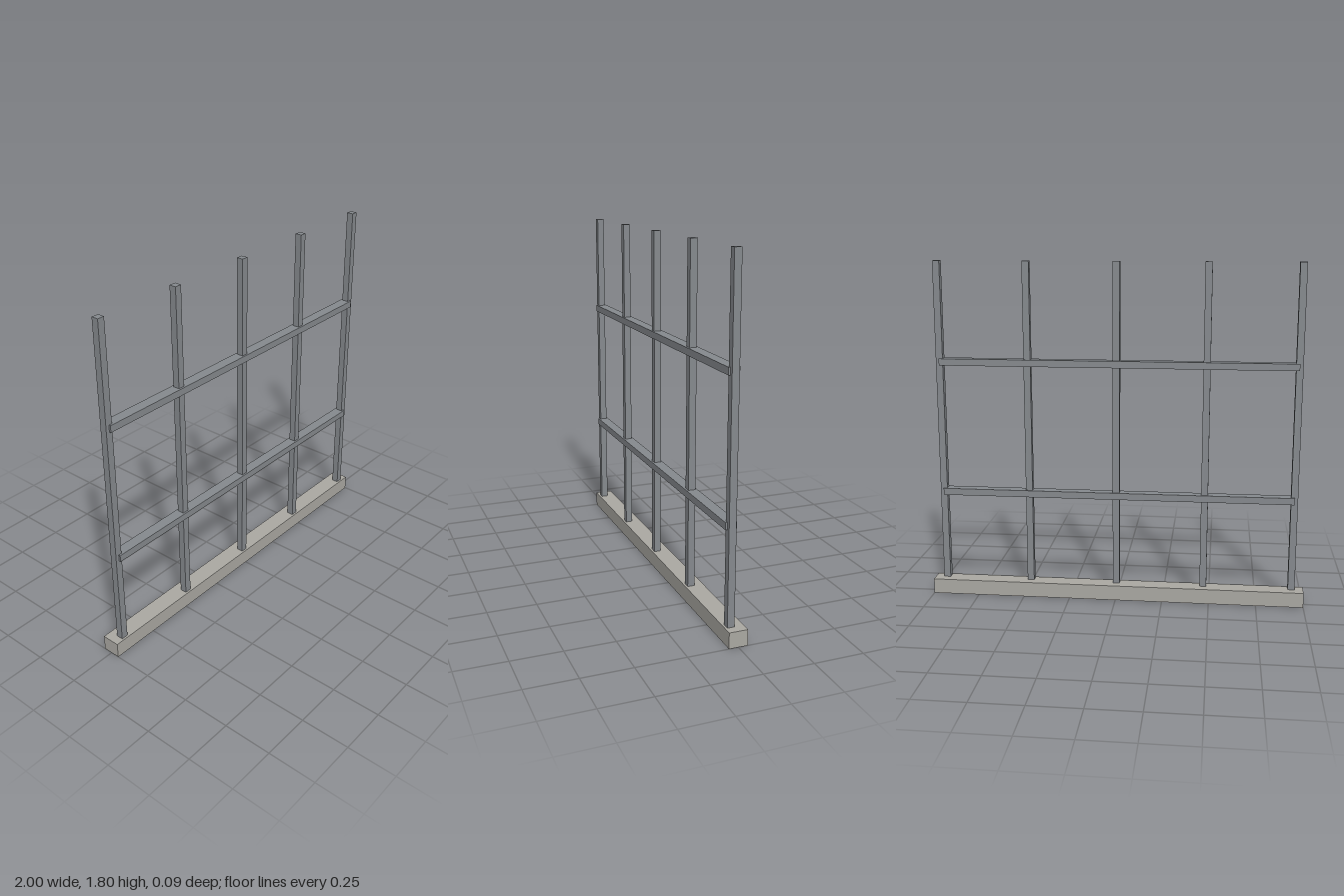
import * as THREE from 'three';

const POST = 0.036;      // square post section
const BASE_H = 0.08;
const TOP = 1.8;
const SPAN = 0.937;      // outer post centre

export function createModel() {
  const model = new THREE.Group();
  const stone = new THREE.MeshStandardMaterial({ color: 0xaaa8a2 });
  const steel = new THREE.MeshStandardMaterial({ color: 0x85898d });

  function box(name, material, size, position) {
    const mesh = new THREE.Mesh(new THREE.BoxGeometry(...size), material);
    mesh.name = name;
    mesh.position.set(...position);
    model.add(mesh);
  }

  // Plinth
  box('base', stone, [2, BASE_H, 0.094], [0, BASE_H / 2, 0]);

  // Five evenly spaced uprights
  const postHeight = TOP - BASE_H;
  for (let i = 0; i < 5; i++) {
    const x = -SPAN + (i * SPAN) / 2;
    box(`post${i + 1}`, steel, [POST, postHeight, POST], [x, BASE_H + postHeight / 2, 0.018]);
  }

  // Rails, deeper than the posts and ending at the outer post centres
  [['lowerRail', 0.569], ['upperRail', 1.274]].forEach(([name, y]) => {
    box(name, steel, [SPAN * 2, 0.036, 0.056], [0, y, 0.018]);
  });

  return model;
}
